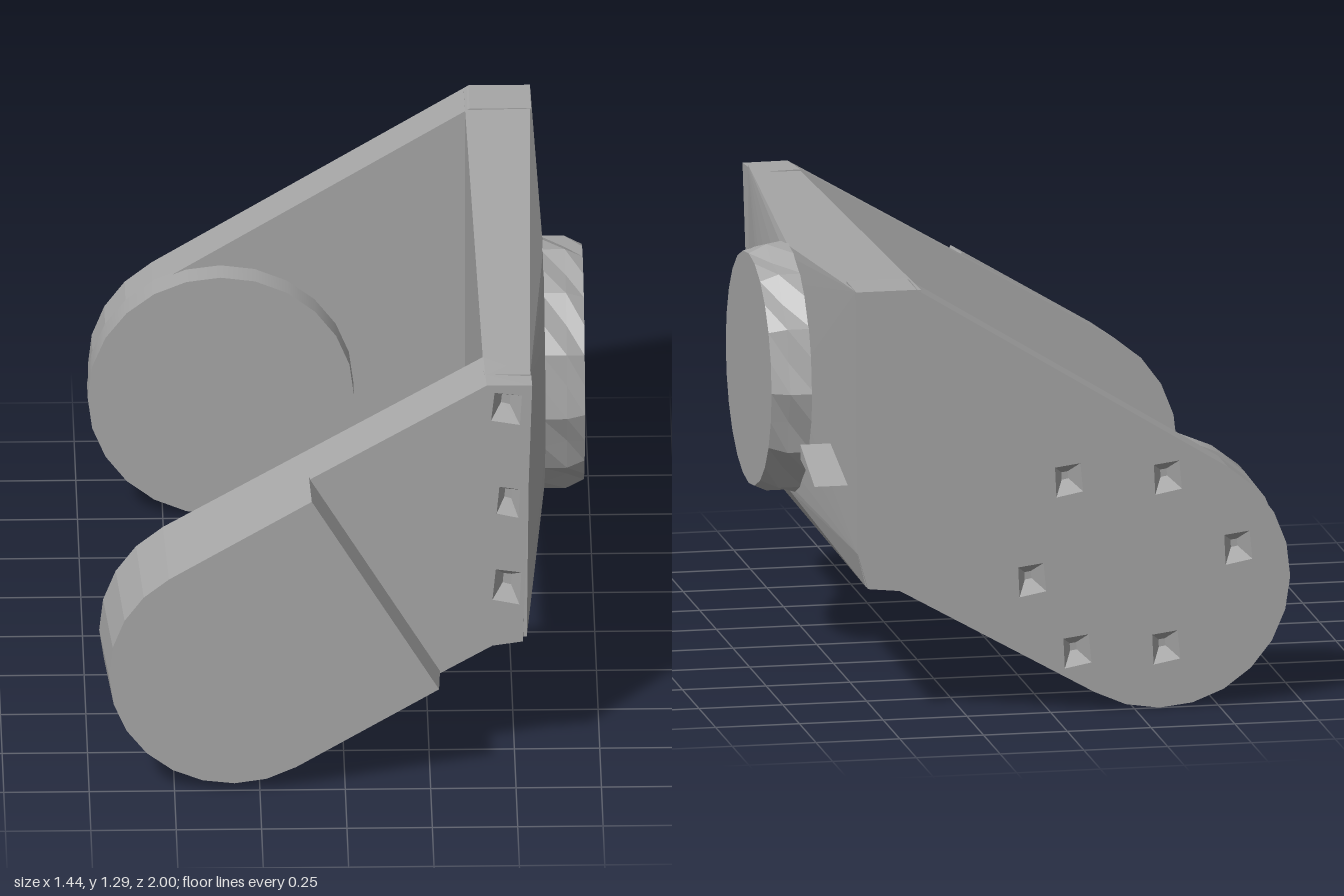
import * as THREE from 'three';
import { ConvexGeometry } from 'three/addons/geometries/ConvexGeometry.js';

const grey = new THREE.MeshStandardMaterial({ color: 0xa6a6a6 });
grey.name = 'plain grey';

// Arm axis: starts at the round end and rises towards the plate
const END = new THREE.Vector2(-0.33, 0.385);
const R = 0.385;
const TILT = THREE.MathUtils.degToRad(31);
const AXIS = new THREE.Vector2(Math.cos(TILT), Math.sin(TILT));

const onArm = (t, v) =>
  new THREE.Vector2(END.x + t * AXIS.x - v * AXIS.y, END.y + t * AXIS.y + v * AXIS.x);

// Round end as a half circle, from the upper edge round to the lower edge
function roundEnd() {
  const pts = [];
  for (let i = 0; i <= 12; i++) {
    const a = Math.PI / 2 + (Math.PI * i) / 12;
    pts.push(onArm(R * Math.cos(a), R * Math.sin(a)));
  }
  return pts;
}

const outline = (corners) =>
  [...roundEnd(), ...corners.map(([x, y]) => new THREE.Vector2(x, y))];

function slab(pts, z0, z1, pits = []) {
  const shape = new THREE.Shape(pts);
  for (const [x, y, w, h] of pits) {
    shape.holes.push(new THREE.Path([
      new THREE.Vector2(x - w, y - h * 0.7), new THREE.Vector2(x - w * 0.8, y + h),
      new THREE.Vector2(x + w, y + h * 0.8), new THREE.Vector2(x + w * 0.9, y - h),
    ]));
  }
  const geo = new THREE.ExtrudeGeometry(shape, { depth: z1 - z0, bevelEnabled: false });
  return geo.translate(0, 0, z0);
}

// Draw the deep end of each pit towards its middle
function sharpenPits(geo, pits, zDeep) {
  const p = geo.attributes.position;
  for (let i = 0; i < p.count; i++) {
    if (Math.abs(p.getZ(i) - zDeep) > 1e-4) continue;
    for (const [x, y, w, h] of pits) {
      const dx = p.getX(i) - x, dy = p.getY(i) - y;
      if (Math.abs(dx) <= w + 1e-4 && Math.abs(dy) <= h + 1e-4) {
        p.setXY(i, x + dx * 0.25, y + dy * 0.25);
      }
    }
  }
  geo.computeVertexNormals();
  return geo;
}

// Narrow the front arm gently towards its outer face
function taper(geo) {
  const p = geo.attributes.position;
  for (let i = 0; i < p.count; i++) {
    const k = 1 - 0.2 * (p.getZ(i) - 0.7);
    const dx = p.getX(i) - END.x, dy = p.getY(i) - END.y;
    let t = dx * AXIS.x + dy * AXIS.y;
    const v = (dy * AXIS.x - dx * AXIS.y) * k;
    if (t < 0) t *= k;
    const q = onArm(t, v);
    p.setXY(i, q.x, q.y);
  }
  geo.computeVertexNormals();
  return geo;
}

export function createModel() {
  const model = new THREE.Group();
  model.name = 'bracket';
  const add = (name, geo) => {
    const mesh = new THREE.Mesh(geo, grey);
    mesh.name = name;
    model.add(mesh);
    return mesh;
  };

  // Front arm with three pits next to the plate
  const frontPits = [[0.47, 1.185, 0.045, 0.055], [0.48, 0.87, 0.034, 0.053], [0.48, 0.585, 0.042, 0.06]];
  const frontLine = outline([[0.44, 0.388], [0.53, 0.4], [0.545, 1.262], [0.41, 1.265]]);
  add('frontArm', taper(slab(frontLine, 0.7, 0.8)));
  add('frontArmFace', taper(sharpenPits(slab(frontLine, 0.8, 0.865, frontPits), frontPits, 0.8)));

  // Raised pad on the outer end of the front arm
  const padLine = [...roundEnd(), onArm(0.488, -R), onArm(0.488, R)];
  add('frontPad', taper(slab(padLine, 0.86, 1)));

  // Back arm with a ring of pits in its outer face
  const backPits = [[-0.055, 0.695], [-0.35, 0.69], [0.055, 0.4], [-0.56, 0.47], [-0.345, 0.18], [-0.08, 0.18]]
    .map(([x, y]) => [x, y, 0.042, 0.05]);
  const backLine = outline([[0.45, 0.385], [0.545, 0.395], [0.575, 0.5], [0.58, 1.288], [0.4, 1.288]]);
  add('backArm', slab(backLine, -0.935, -0.85));
  add('backArmFace', sharpenPits(slab(backLine, -1, -0.935, backPits), backPits, -0.935));

  // Round boss on the inner side of the back arm
  const boss = new THREE.CylinderGeometry(0.39, 0.39, 0.09, 24).rotateX(Math.PI / 2);
  add('backBoss', boss).position.set(END.x, END.y + 0.005, -0.815);

  // Plate joining the arms, swelling to a flat seat under the knob
  const KY = 0.855, KZ = -0.065;
  const hull = [
    [0.385, 1.285, -0.99], [0.385, 0.4, -0.99], [0.41, 1.258, 0.8], [0.41, 0.4, 0.8],
    [0.58, 1.288, -0.99], [0.575, 0.5, -0.99], [0.55, 0.4, -0.99],
    [0.545, 1.262, 0.81], [0.535, 0.4, 0.81],
  ].map((c) => new THREE.Vector3(...c));
  for (let i = 0; i < 20; i++) {
    const a = (i / 20) * Math.PI * 2;
    hull.push(new THREE.Vector3(0.6, KY + 0.365 * Math.sin(a), KZ + 0.365 * Math.cos(a)));
  }
  add('sidePlate', new ConvexGeometry(hull));

  // Knob with a scalloped rim
  let knob = new THREE.CylinderGeometry(0.345, 0.37, 0.125, 24, 2);
  const p = knob.attributes.position;
  for (let i = 0; i < p.count; i++) {
    if (Math.abs(p.getY(i)) > 0.01) continue;
    const a = Math.atan2(p.getX(i), p.getZ(i));
    const r = 0.357 + 0.013 * Math.cos(12 * a);
    p.setXYZ(i, r * Math.sin(a), 0.01, r * Math.cos(a));
  }
  knob = knob.toNonIndexed();
  knob.computeVertexNormals();
  knob.rotateZ(-Math.PI / 2);
  add('knob', knob).position.set(0.6535, KY, KZ);

  // Thin fin beside the knob
  const finShape = new THREE.Shape([
    new THREE.Vector2(-0.66, 0.715), new THREE.Vector2(-0.66, 0.758), new THREE.Vector2(-0.875, 0.68),
  ]);
  const fin = new THREE.ExtrudeGeometry(finShape, { depth: 0.11, bevelEnabled: false });
  fin.rotateY(-Math.PI / 2).translate(0.68, 0, 0);
  add('fin', fin);

  return model;
}
